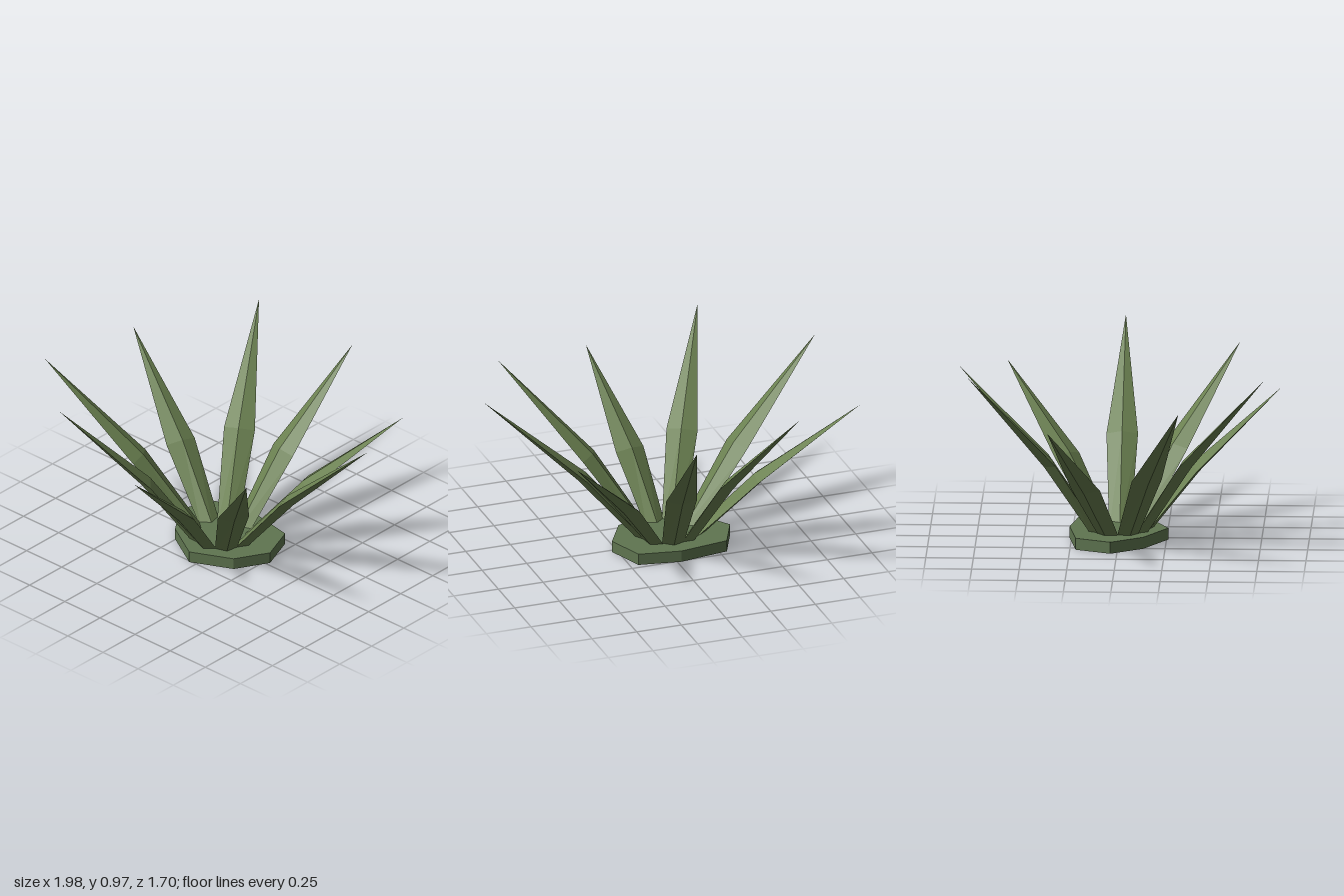
import * as THREE from 'three';

const CENTRE_X = -0.042;

function faceted(points, faces) {
  const g = new THREE.BufferGeometry();
  g.setAttribute('position', new THREE.Float32BufferAttribute(faces.flat().flatMap((i) => points[i]), 3));
  g.computeVertexNormals(); // unshared corners keep every facet flat
  return g;
}

// Pointed leaf with a diamond section: narrow root, widest at the bend, then a tip
function leafGeometry(reach, height) {
  const root = [0.118, 0.02];
  const bend = [reach * 0.468, height * 0.47];
  const ring = ([x, y], tilt, width, thick) => {
    const nx = -Math.sin(tilt) * thick, ny = Math.cos(tilt) * thick;
    return [[x + nx, y + ny, 0], [x, y, width], [x - nx, y - ny, 0], [x, y, -width]];
  };
  const tilt = Math.atan2(bend[1] - root[1], bend[0] - root[0]);
  const points = [...ring(root, tilt, 0.056, 0.026), ...ring(bend, tilt, 0.083, 0.03), [reach, height, 0]];
  const faces = [[0, 3, 2], [0, 2, 1]];
  for (let i = 0; i < 4; i++) {
    const j = (i + 1) % 4;
    faces.push([i, j, j + 4], [i, j + 4, i + 4], [i + 4, j + 4, 8]);
  }
  return faceted(points, faces);
}

// Uneven eight-sided mound: top and skirt, open underneath
function baseGeometry() {
  const outline = [
    [-0.04, 0.26], [0.18, 0.155], [0.28, -0.02], [0.205, -0.22],
    [-0.02, -0.26], [-0.29, -0.22], [-0.375, -0.035], [-0.255, 0.135],
  ];
  const n = outline.length;
  const points = [
    ...outline.map(([x, z]) => [x, 0, z]),
    ...outline.map(([x, z]) => [x, 0.062, z]),
    [CENTRE_X, 0.062, 0],
  ];
  const faces = [];
  for (let i = 0; i < n; i++) {
    const j = (i + 1) % n;
    faces.push([i, j, j + n], [i, j + n, i + n], [i + n, j + n, 2 * n]);
  }
  return faceted(points, faces);
}

export function createModel() {
  const model = new THREE.Group();
  model.name = 'spikyPlant';

  const baseMaterial = new THREE.MeshStandardMaterial({ color: 0x5f7550, flatShading: true, side: THREE.DoubleSide });
  const leafMaterial = new THREE.MeshStandardMaterial({ color: 0x6a8050, flatShading: true });

  const base = new THREE.Mesh(baseGeometry(), baseMaterial);
  base.name = 'base';
  model.add(base);

  // Nine leaves fan out evenly; three heights repeat round the ring
  const leaves = new THREE.Group();
  leaves.name = 'leaves';
  leaves.position.x = CENTRE_X;
  const heights = [0.97, 0.9, 0.793];
  const reaches = [1.032, 0.952, 0.863, 0.9, 1.009, 1.009, 0.9, 0.863, 0.952];
  reaches.forEach((reach, i) => {
    const leaf = new THREE.Mesh(leafGeometry(reach, heights[i % 3]), leafMaterial);
    leaf.name = `leaf${i + 1}`;
    leaf.rotation.y = -i * Math.PI * 2 / reaches.length;
    leaves.add(leaf);
  });
  model.add(leaves);
  return model;
}
